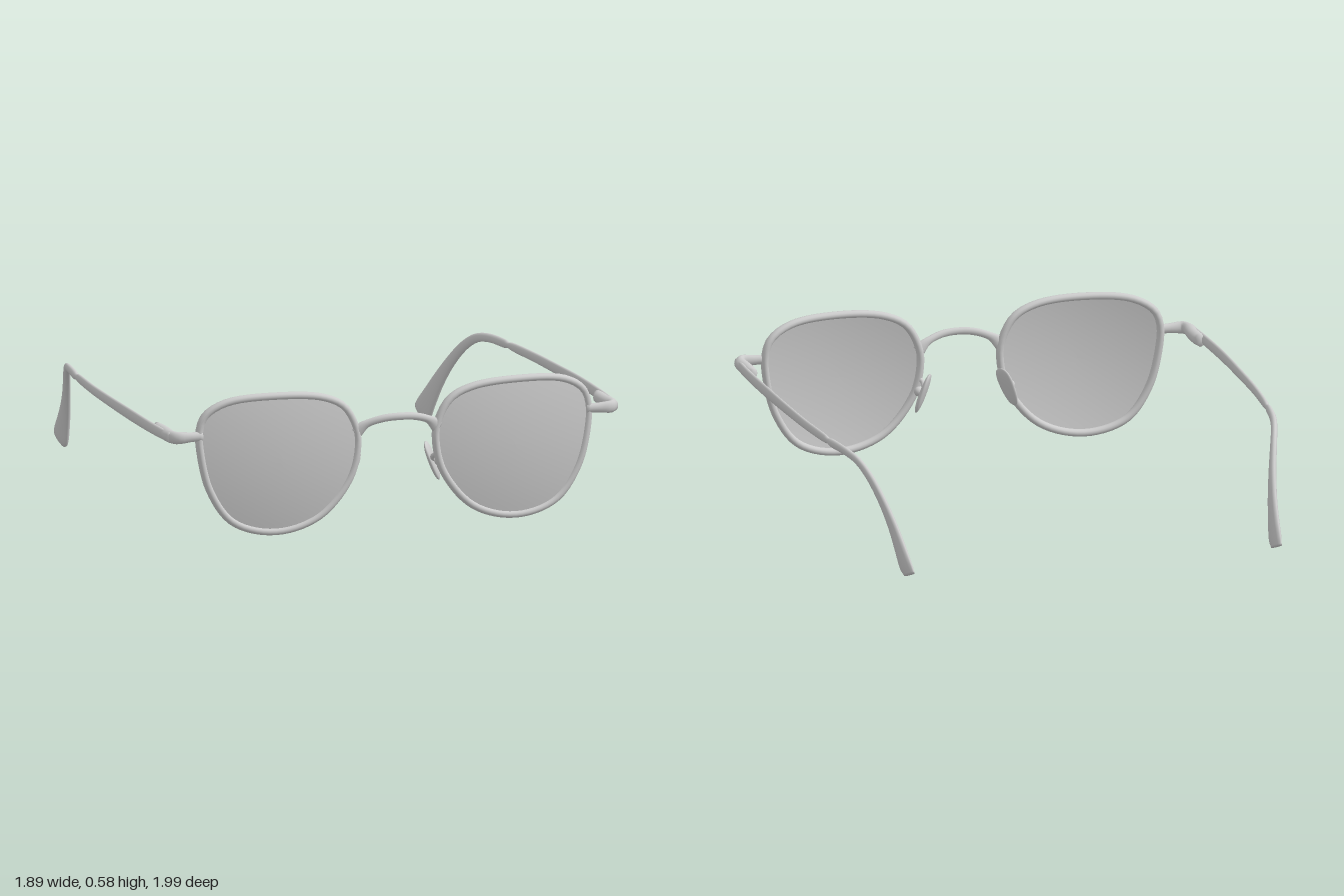
import * as THREE from 'three';

const V = (x, y, z) => new THREE.Vector3(x, y, z);
const material = new THREE.MeshStandardMaterial({ color: 0xcccccc, side: THREE.DoubleSide });

// Skin of elliptical sections { c: centre, u, v: half axes }, with u x v along the path
function loft(frames, sides, closed = false) {
  const rings = frames.slice();
  if (!closed) {
    const cap = f => ({ c: f.c, u: V(0, 0, 0), v: V(0, 0, 0) });
    rings.unshift(cap(frames[0]));
    rings.push(cap(frames[frames.length - 1]));
  }
  const pos = [], idx = [], n = rings.length;
  for (const { c, u, v } of rings) {
    for (let j = 0; j < sides; j++) {
      const a = j / sides * Math.PI * 2;
      const p = c.clone().addScaledVector(u, Math.cos(a)).addScaledVector(v, Math.sin(a));
      pos.push(p.x, p.y, p.z);
    }
  }
  for (let i = 0; i < (closed ? n : n - 1); i++) {
    for (let j = 0; j < sides; j++) {
      const k = (j + 1) % sides, r = i * sides, s = ((i + 1) % n) * sides;
      idx.push(r + j, r + k, s + j, r + k, s + k, s + j);
    }
  }
  return indexed(pos, idx);
}

function indexed(pos, idx) {
  const g = new THREE.BufferGeometry();
  g.setAttribute('position', new THREE.Float32BufferAttribute(pos, 3));
  g.setIndex(idx);
  g.computeVertexNormals();
  return g;
}

// Mirrored copy across x = 0, with the face order turned back
function mirrored(geometry) {
  const g = geometry.clone().scale(-1, 1, 1);
  const a = g.index.array;
  for (let i = 0; i < a.length; i += 3) [a[i], a[i + 1]] = [a[i + 1], a[i]];
  return g;
}

// Curved front surface shared by lens and rim
const faceZ = (x, y) => 0.97 + 0.04 * (y - 0.3) - 0.05 * (x - 0.48)
  - 0.35 * (x - 0.48) ** 2 - 0.3 * (y - 0.3) ** 2;

const outline = new THREE.CatmullRomCurve3([
  [0.808, 0.44], [0.785, 0.5], [0.70, 0.55], [0.5, 0.568], [0.31, 0.55], [0.22, 0.505],
  [0.17, 0.415], [0.163, 0.34], [0.195, 0.215], [0.32, 0.07], [0.5, 0.018], [0.67, 0.065],
  [0.765, 0.195], [0.806, 0.36],
].map(([x, y]) => V(x, y, 0)), true);
const EDGE = 72;

function rimGeometry() {
  const frames = [];
  for (let i = 0; i < EDGE; i++) {
    const c = outline.getPointAt(i / EDGE), t = outline.getTangentAt(i / EDGE);
    c.z = faceZ(c.x, c.y) - 0.006;
    frames.push({ c, u: V(t.y, -t.x, 0).multiplyScalar(0.015), v: V(0, 0, -0.019) });
  }
  return loft(frames, 12, true);
}

// Domed lens made of rings shrinking to the middle
function lensGeometry() {
  const pos = [], idx = [], rings = 10, mid = V(0.485, 0.31, 0);
  for (let r = 0; r <= rings; r++) {
    for (let i = 0; i < EDGE; i++) {
      const p = outline.getPointAt(i / EDGE).lerp(mid, r / rings);
      pos.push(p.x, p.y, faceZ(p.x, p.y));
      if (r === rings) continue;
      const a = r * EDGE + i, b = r * EDGE + (i + 1) % EDGE;
      idx.push(a, b, a + EDGE, b, b + EDGE, a + EDGE);
    }
  }
  return indexed(pos, idx);
}

// Hinge block bending from the rim round to the temple
function endPieceGeometry() {
  const path = new THREE.CatmullRomCurve3([
    V(0.8, 0.42, 0.916), V(0.86, 0.42, 0.92), V(0.903, 0.42, 0.917), V(0.917, 0.42, 0.885),
    V(0.914, 0.419, 0.8), V(0.916, 0.419, 0.71),
  ]);
  const frames = [];
  for (let i = 0; i <= 24; i++) {
    const k = i / 24, c = path.getPointAt(k), t = path.getTangentAt(k);
    const w = 0.016 + 0.01 * THREE.MathUtils.smoothstep(k, 0.3, 0.55) - 0.01 * THREE.MathUtils.smoothstep(k, 0.9, 1);
    const h = 0.019 + 0.006 * THREE.MathUtils.smoothstep(k, 0.1, 0.35);
    frames.push({ c, u: V(-t.z, 0, t.x).multiplyScalar(w), v: V(0, -h, 0) });
  }
  return loft(frames, 14);
}

// Temple arm: upper z, y; lower z, y; x; half thickness
function templeGeometry() {
  const rows = [
    [0.90, 0.440, 0.90, 0.398, 0.926, 0.012], [0.70, 0.442, 0.70, 0.397, 0.934, 0.012],
    [0.45, 0.444, 0.45, 0.397, 0.935, 0.011], [0.20, 0.441, 0.20, 0.398, 0.929, 0.011],
    [-0.05, 0.438, -0.05, 0.399, 0.919, 0.011], [-0.27, 0.434, -0.27, 0.401, 0.901, 0.011],
    [-0.30, 0.429, -0.30, 0.405, 0.898, 0.009], [-0.33, 0.434, -0.33, 0.400, 0.895, 0.012],
    [-0.48, 0.431, -0.46, 0.398, 0.873, 0.013], [-0.57, 0.413, -0.545, 0.382, 0.851, 0.013],
    [-0.65, 0.368, -0.62, 0.335, 0.826, 0.014], [-0.74, 0.290, -0.695, 0.255, 0.798, 0.015],
    [-0.83, 0.206, -0.755, 0.165, 0.776, 0.016], [-0.91, 0.133, -0.80, 0.085, 0.763, 0.017],
    [-0.975, 0.078, -0.835, 0.025, 0.755, 0.016], [-1.0, 0.05, -0.875, 0.006, 0.751, 0.012],
  ];
  const upper = new THREE.CatmullRomCurve3(rows.map(r => V(r[4], r[1], r[0])));
  const lower = new THREE.CatmullRomCurve3(rows.map(r => V(r[4], r[3], r[2])));
  const thick = new THREE.CatmullRomCurve3(rows.map((r, i) => V(r[5], i * 0.05, 0)));
  const frames = [];
  for (let i = 0; i <= 60; i++) {
    const k = i / 60, a = upper.getPoint(k), b = lower.getPoint(k);
    frames.push({
      c: a.clone().add(b).multiplyScalar(0.5),
      u: V(thick.getPoint(k).x, 0, 0),
      v: b.sub(a).multiplyScalar(0.5),
    });
  }
  return loft(frames, 14);
}

// Slanted nose pad: flattened, squarish, narrower towards the bottom
function nosePadGeometry() {
  const g = new THREE.SphereGeometry(1, 24, 16), p = g.attributes.position;
  const square = s => Math.sign(s) * Math.abs(s) ** 0.8;
  for (let i = 0; i < p.count; i++) {
    const y = square(p.getY(i));
    p.setXYZ(i, p.getX(i) * 0.013, y * 0.082, square(p.getZ(i)) * 0.042 * (1 + 0.2 * y));
  }
  const long = V(-0.36, 0.93, 0).normalize();
  const wide = V(-0.42, -0.1, 0.9).normalize();
  const flat = long.clone().cross(wide).normalize();
  wide.crossVectors(flat, long);
  g.applyMatrix4(new THREE.Matrix4().makeBasis(flat, long, wide).setPosition(0.173, 0.245, 0.873));
  g.computeVertexNormals();
  return g;
}

const tube = (points, radius) =>
  new THREE.TubeGeometry(new THREE.CatmullRomCurve3(points), 24, radius, 10, false);

// Bridge arch, flared where it meets the rims
function bridgeGeometry() {
  const path = new THREE.CatmullRomCurve3([
    V(-0.172, 0.395, 0.948), V(-0.135, 0.428, 0.957), V(-0.07, 0.451, 0.974), V(0, 0.457, 0.981),
    V(0.07, 0.451, 0.974), V(0.135, 0.428, 0.957), V(0.172, 0.395, 0.948),
  ]);
  const frames = [];
  for (let i = 0; i <= 36; i++) {
    const c = path.getPointAt(i / 36), t = path.getTangentAt(i / 36);
    const r = 0.015 + 0.012 * THREE.MathUtils.smoothstep(Math.abs(c.x), 0.115, 0.175);
    const u = V(-t.y, t.x, 0).normalize().multiplyScalar(r);
    frames.push({ c, u, v: t.clone().cross(u).setLength(0.013) });
  }
  return loft(frames, 12);
}

export function createModel() {
  const model = new THREE.Group();
  model.name = 'eyeglasses';
  const add = (name, geometry) => {
    const mesh = new THREE.Mesh(geometry, material);
    mesh.name = name;
    model.add(mesh);
  };
  add('bridge', bridgeGeometry());

  const parts = {
    Rim: rimGeometry(),
    Lens: lensGeometry(),
    EndPiece: endPieceGeometry(),
    Temple: templeGeometry(),
    NosePad: nosePadGeometry(),
    PadArm: tube([V(0.172, 0.29, 0.942), V(0.16, 0.275, 0.92), V(0.165, 0.258, 0.9), V(0.182, 0.25, 0.876)], 0.009),
    PadMount: new THREE.SphereGeometry(0.02, 16, 10).translate(0.186, 0.25, 0.884),
  };
  for (const [name, geometry] of Object.entries(parts)) {
    add('left' + name, geometry);
    add('right' + name, mirrored(geometry));
  }
  return model;
}
